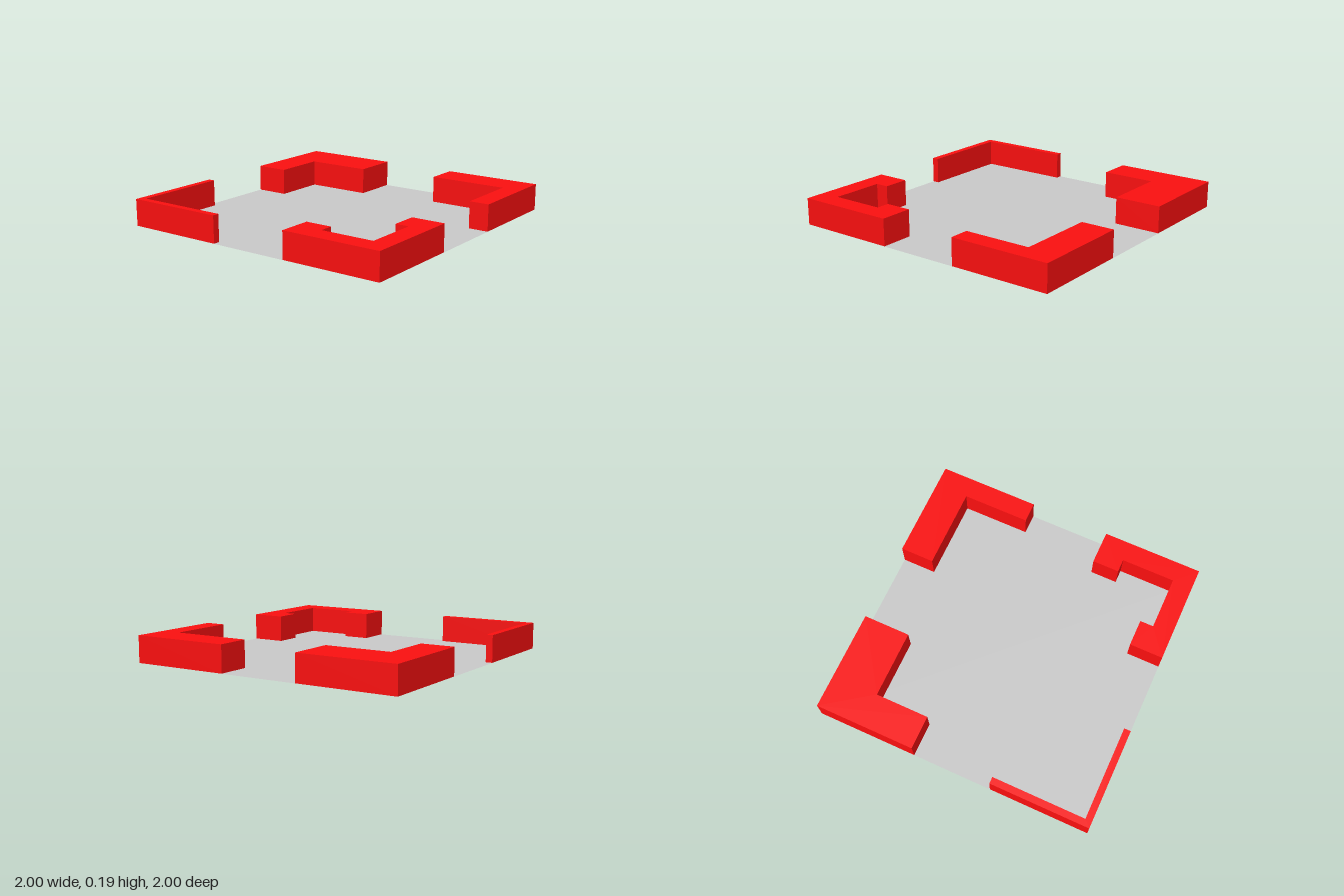
import * as THREE from 'three';

const U = 2 / 42; // plan module: the floor is 42 modules wide
const WALL_HEIGHT = 0.19;
const LIFT = 0.001; // keeps wall undersides just clear of the floor sheet

// Wall footprints as [x, z] corners, in modules
const footprints = {
  backRightCornerWall: [[-21, -21], [-6, -21], [-6, -20], [-20, -20], [-20, -6], [-21, -6]],
  backLeftCornerWall: [[21, -21], [21, -6], [14, -6], [14, -16], [6, -16], [6, -21]],
  frontLeftCornerWall: [[21, 21], [6, 21], [6, 18], [16, 18], [16, 6], [21, 6]],
  frontRightCornerWall: [
    [-21, 21], [-21, 6], [-16, 6], [-16, 10], [-18, 10],
    [-18, 18], [-10, 18], [-10, 16], [-6, 16], [-6, 21],
  ],
};

function cornerWall(name, corners, material) {
  const shape = new THREE.Shape(corners.map(([x, z]) => new THREE.Vector2(x * U, -z * U)));
  const geometry = new THREE.ExtrudeGeometry(shape, { depth: WALL_HEIGHT - LIFT, bevelEnabled: false });
  geometry.rotateX(-Math.PI / 2).translate(0, LIFT, 0);
  const mesh = new THREE.Mesh(geometry, material);
  mesh.name = name;
  return mesh;
}

export function createModel() {
  const model = new THREE.Group();
  model.name = 'walledCourt';

  // Thin floor sheet
  const grey = new THREE.MeshStandardMaterial({ color: 0xcccccc, side: THREE.DoubleSide });
  const floor = new THREE.Mesh(new THREE.PlaneGeometry(2, 2).rotateX(-Math.PI / 2), grey);
  floor.name = 'floor';
  model.add(floor);

  // Four different corner walls
  const red = new THREE.MeshStandardMaterial({ color: 0xfd1010 });
  for (const [name, corners] of Object.entries(footprints)) {
    model.add(cornerWall(name, corners, red));
  }
  return model;
}
